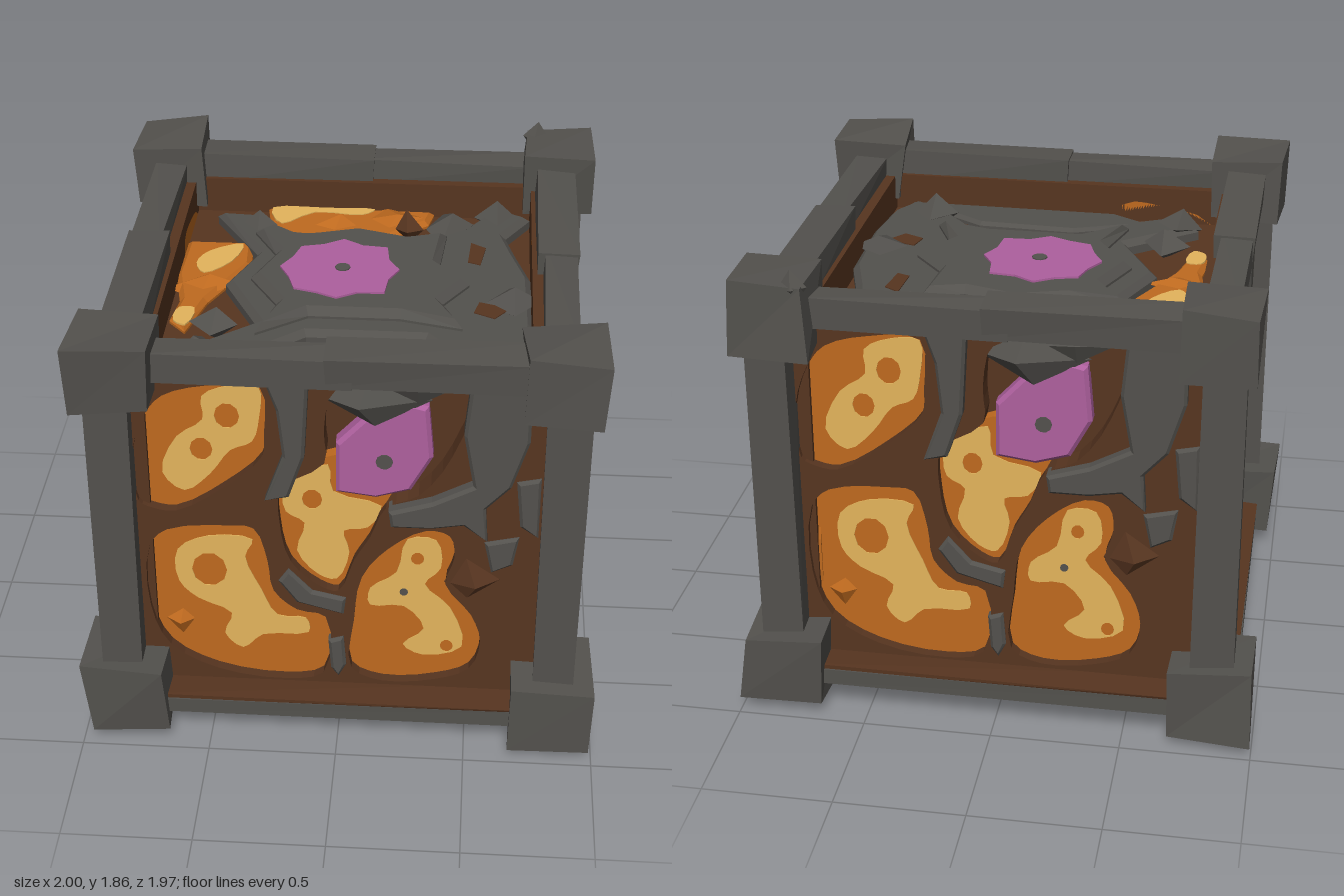
import * as THREE from 'three';

const mat = (name, color) => {
  const m = new THREE.MeshStandardMaterial({ color });
  m.name = name;
  return m;
};
const stone = mat('grey stone', 0x53514d);
const earth = mat('brown earth', 0x573520);
const lava = mat('orange lava', 0xbf6a1f);
const glow = mat('yellow glow', 0xe4b45c);
const crystal = mat('purple crystal', 0xae609e);

// Small repeatable noise, keyed on position so shared corners move together
const noise = (x, y, z, k) => {
  const s = Math.sin(x * 91.7 + y * 47.3 + z * 73.1 + k * 12.9) * 4375.5;
  return (s - Math.floor(s)) * 2 - 1;
};
function facet(geo, amount, seed) {
  const g = geo.index ? geo.toNonIndexed() : geo;
  const p = g.attributes.position;
  for (let i = 0; i < p.count; i++) {
    const [x, y, z] = [p.getX(i), p.getY(i), p.getZ(i)].map(v => Math.round(v * 1000) / 1000);
    p.setXYZ(i, x + noise(x, y, z, seed) * amount, y + noise(y, z, x, seed + 1) * amount, z + noise(z, x, y, seed + 2) * amount);
  }
  g.computeVertexNormals();
  return g;
}
function add(parent, name, geo, material, x = 0, y = 0, z = 0) {
  const m = new THREE.Mesh(geo, material);
  m.name = name;
  m.position.set(x, y, z);
  parent.add(m);
  return m;
}
// Box given by its limits, with slightly crooked corners
function block(parent, name, material, x0, x1, y0, y1, z0, z1, amount = 0.012, seed = 1) {
  const g = facet(new THREE.BoxGeometry(x1 - x0, y1 - y0, z1 - z0), amount, seed);
  return add(parent, name, g, material, (x0 + x1) / 2, (y0 + y1) / 2, (z0 + z1) / 2);
}
const vec = pts => pts.map(([x, y]) => new THREE.Vector2(x, y));
const poly = pts => new THREE.Shape(vec(pts));
// Closed smooth outline with optional oval holes
const smooth = pts => new THREE.CatmullRomCurve3(pts.map(([x, y]) => new THREE.Vector3(x, y, 0)), true)
  .getPoints(pts.length * 3).slice(0, -1).map(p => [p.x, p.y]);
const blob = (pts, holes = []) => {
  const s = poly(smooth(pts));
  for (const [x, y, r] of holes) s.holes.push(new THREE.Path().absellipse(x, y, r * 0.85, r, 0, Math.PI * 2));
  return s;
};
const disc = (x, y, r) => new THREE.Shape().absarc(x, y, r, 0, Math.PI * 2);
// Slab from z0 to z1 with an optional chamfered front edge inside the outline
function slab(parent, name, shape, material, z0, z1, bevel = 0) {
  const g = new THREE.ExtrudeGeometry(shape, {
    depth: z1 - z0 - bevel, curveSegments: 5, bevelEnabled: bevel > 0,
    bevelThickness: bevel, bevelSize: bevel, bevelOffset: -bevel, bevelSegments: 1,
  });
  return add(parent, name, g, material, 0, 0, z0);
}
function rock(parent, name, material, x, y, z, sx, sy, sz, seed = 3) {
  const m = add(parent, name, facet(new THREE.OctahedronGeometry(1, 0), 0.25, seed), material, x, y, z);
  m.scale.set(sx, sy, sz);
}

// Outlines of the gem side
const gemSide = {
  cells: [
    [[-.28, 1.57], [-.27, 1.37], [-.28, 1.27], [-.42, 1.13], [-.61, 1.01], [-.7, 1.02], [-.75, 1.05], [-.76, 1.27], [-.71, 1.43], [-.64, 1.52], [-.48, 1.57]],
    [[-.65, .92], [-.42, .95], [-.32, .94], [-.27, .79], [-.25, .65], [-.16, .56], [-.05, .53], [-.06, .25], [-.21, .21], [-.48, .25], [-.66, .36], [-.73, .55], [-.72, .84]],
    [[.33, .96], [.42, .94], [.44, .84], [.41, .71], [.51, .57], [.55, .44], [.51, .3], [.38, .24], [.17, .22], [.05, .28], [.06, .52], [.09, .73], [.19, .87]],
  ],
  socket: [[-.22, .97], [-.21, 1.13], [-.05, 1.25], [-.05, 1.4], [0, 1.58], [.48, 1.6], [.42, 1.3], [.3, 1.12], [.18, 1.06], [.12, .92], [.06, .81], [0, .66], [-.07, .68], [-.18, .79]],
  inner: [[-.22, .97], [-.21, 1.13], [-.05, 1.25], [.04, 1.26], [.2, 1.12], [.18, 1.06], [.12, .92], [.06, .81], [0, .66], [-.07, .68], [-.18, .79]],
  glows: [
    [[[-.4, 1.55], [-.29, 1.55], [-.29, 1.42], [-.32, 1.31], [-.4, 1.27], [-.48, 1.16], [-.58, 1.08], [-.66, 1.16], [-.6, 1.32], [-.5, 1.4], [-.5, 1.5]], [[-.51, 1.27, .05], [-.41, 1.42, .055]]],
    [[[-.62, .8], [-.5, .87], [-.33, .86], [-.36, .78], [-.3, .62], [-.24, .5], [-.13, .49], [-.12, .42], [-.3, .4], [-.38, .33], [-.45, .4], [-.42, .5], [-.55, .57], [-.62, .65]], [[-.5, .71, .08]]],
    [[[-.2, 1.12], [-.04, 1.22], [-.02, 1.1], [.16, 1.04], [.11, .94], [.02, .92], [.04, .82], [-.01, .69], [-.08, .71], [-.16, .82], [-.13, .95], [-.2, 1.0]], [[-.1, 1.06, .045]]],
    [[[.26, .89], [.37, .89], [.39, .76], [.33, .68], [.43, .57], [.48, .38], [.33, .33], [.25, .38], [.33, .46], [.25, .57], [.12, .57], [.12, .65], [.22, .73]], [[.42, .38, .03], [.3, .8, .03]]],
  ],
  stones: [
    [[-.27, 1.65], [-.1, 1.65], [-.12, 1.3], [-.18, 1.12], [-.27, 1.1], [-.2, 1.3], [-.22, 1.5]],
    [[.48, 1.64], [.7, 1.62], [.7, 1.4], [.64, 1.2], [.55, 1.1], [.56, .95], [.47, 1.02], [.35, 1.0], [.2, 1.0], [.19, 1.07], [.35, 1.12], [.5, 1.2], [.46, 1.42]],
    [[-.23, .7], [-.16, .6], [.02, .55], [.03, .63], [-.1, .66], [-.19, .76]],
    [[-.04, .42], [.02, .44], [.03, .3], [0, .24], [-.03, .28]],
    [[.55, .92], [.68, .95], [.66, .82], [.58, .78]],
    [[.66, 1.2], [.75, 1.22], [.75, .95], [.68, 1.0]],
  ],
  gem: [[-.01, 1.1], [-.01, 1.32], [.1, 1.44], [.25, 1.51], [.33, 1.49], [.35, 1.27], [.27, 1.12], [.14, 1.08]],
};
// Outlines of the side without a gem
const plainSide = {
  cells: [
    [[-.41, .95], [-.24, .92], [-.11, .71], [-.07, .41], [-.14, .21], [-.35, .23], [-.59, .31], [-.64, .43], [-.62, .57], [-.46, .72]],
    [[.26, .79], [.31, .96], [.53, .96], [.67, .87], [.75, .79], [.75, .41], [.69, .28], [.39, .23], [.07, .23], [.05, .55], [.21, .6]],
    [[.25, 1.61], [.44, 1.62], [.61, 1.53], [.72, 1.43], [.74, 1.16], [.67, 1.01], [.55, 1.05], [.42, 1.16], [.31, 1.32], [.25, 1.45]],
  ],
  socket: [[-.24, 1.55], [-.07, 1.47], [.05, 1.45], [.15, 1.21], [.14, 1.08], [.23, .95], [.23, .87], [.14, .72], [.02, .68], [-.11, .89], [-.22, 1.03], [-.35, 1.19], [-.41, 1.27], [-.32, 1.43]],
  glows: [
    [[[-.24, 1.53], [-.07, 1.44], [.02, 1.41], [.12, 1.21], [.12, 1.07], [.21, .95], [.21, .87], [.13, .74], [.03, .7], [-.09, .9], [-.2, 1.04], [-.28, 1.19], [-.25, 1.35], [-.3, 1.43]],
      [[-.03, 1.28, .06], [-.19, 1.2, .05], [.06, 1.15, .04], [-.08, 1.02, .05], [.09, .93, .07], [.07, .78, .03], [-.16, 1.38, .04]]],
    [[[-.35, .87], [-.24, .8], [-.18, .6], [-.15, .42], [-.3, .33], [-.45, .33], [-.55, .4], [-.53, .52], [-.37, .6], [-.28, .7], [-.4, .78]], [[-.29, .5, .05], [-.42, .43, .04]]],
    [[[.45, .87], [.57, .85], [.5, .75], [.52, .6], [.4, .47], [.36, .5], [.46, .62], [.42, .78]]],
    [[[.15, .37], [.3, .48], [.33, .4], [.2, .35]]],
    [[[.27, 1.59], [.42, 1.59], [.36, 1.45], [.45, 1.25], [.55, 1.12], [.5, 1.12], [.38, 1.23], [.29, 1.38]], [[.33, 1.53, .03]]],
  ],
  stones: [
    [[.07, 1.68], [.24, 1.66], [.21, 1.28], [.16, 1.24], [.11, 1.45]],
    [[-.55, 1.6], [-.42, 1.62], [-.46, 1.38], [-.55, 1.42]],
    [[-.2, 1.64], [.06, 1.64], [.06, 1.52], [-.08, 1.5]],
    [[.2, 1.26], [.28, 1.26], [.28, 1.17], [.22, 1.18]],
    [[-.66, 1.0], [-.58, 1.02], [-.56, .96], [-.62, .92]],
    [[-.65, .85], [-.57, .87], [-.55, .8], [-.62, .77]],
  ],
};

function buildSide(data, name, angle) {
  const g = new THREE.Group();
  g.name = name;
  g.rotation.y = angle;
  // Raised earth web with openings over recessed lava
  const web = poly([[-.78, .17], [.78, .17], [.78, 1.65], [-.78, 1.65]]);
  for (const c of [...data.cells, data.socket]) web.holes.push(new THREE.Path(vec(smooth(c))));
  slab(g, 'earthWeb', web, earth, .71, .8);
  block(g, 'webBacking', earth, -.7, .7, 1.45, 1.65, .7, .72, 0);
  for (const c of [...data.cells, data.inner || data.socket]) slab(g, 'lavaCell', blob(c), lava, .7, .76);
  for (const [pts, holes] of data.glows) slab(g, 'lavaGlow', blob(pts, holes), glow, .757, .764);
  data.stones.forEach((s, i) => slab(g, 'stoneBranch', poly(s), stone, .77, i < 2 ? .85 : .815, .012));
  if (data.gem) {
    slab(g, 'gem', poly(data.gem), crystal, .71, .775, .015);
    slab(g, 'gemPupil', disc(.17, 1.25, .032), stone, .773, .779);
    slab(g, 'lavaPupil', disc(.25, .64, .016), stone, .762, .768);
    rock(g, 'browRock', stone, .12, 1.53, .78, .2, .11, .07);
    rock(g, 'browRock', stone, .27, 1.58, .77, .13, .06, .06, 6);
    rock(g, 'earthShard', earth, .5, .73, .79, .11, .11, .04, 5);
    rock(g, 'lavaShard', lava, -.62, .46, .76, .06, .06, .04, 8);
  } else {
    rock(g, 'earthShard', earth, .23, .79, .79, .07, .1, .04, 5);
    rock(g, 'lavaShard', lava, .62, .42, .76, .09, .08, .04, 8);
    rock(g, 'stoneShard', stone, -.47, 1.5, .79, .06, .13, .05, 9);
  }
  // Edge beams above and below
  block(g, 'topBeam', stone, -.7, .05, 1.62, 1.73, .74, .87, .008, 4);
  block(g, 'topBeam', stone, -.04, .7, 1.62, 1.745, .72, .875, .008, 6);
  block(g, 'bottomBeam', stone, -.75, .75, .12, .185, .76, .92, .006, 7);
  block(g, 'bottomLedge', earth, -.75, .75, .183, .2, .76, .92, .004, 9);
  return g;
}

export function createModel() {
  const model = new THREE.Group();
  model.name = 'lavaCube';
  block(model, 'core', earth, -.71, .71, .16, 1.5, -.71, .71, 0);
  block(model, 'basePlate', stone, -.86, .86, .12, .17, -.86, .86, .004);
  for (const [x0, x1, z0, z1] of [[-.15, .25, -.3, -.2], [-.15, -.05, -.2, -.05], [.15, .25, -.2, -.05]])
    block(model, 'basePatch', earth, x0, x1, .113, .121, z0, z1, 0);
  ['front', 'right', 'back', 'left'].forEach((n, i) =>
    model.add(buildSide(i === 1 ? plainSide : gemSide, n + 'Side', i * Math.PI / 2)));

  // Corner posts and blocks
  for (const sx of [-1, 1]) for (const sz of [-1, 1]) {
    const k = sx * 2 + sz * 5;
    const post = new THREE.BoxGeometry(.16, 1.3, .16);
    add(model, 'cornerPost', facet(post, .01, k), stone, sx * .838, .95, sz * .83);
    add(model, 'lowerCorner', facet(new THREE.BoxGeometry(.32, .29, .31), .02, k), stone, sx * .82, .2, sz * .815);
    add(model, 'upperCorner', facet(new THREE.BoxGeometry(.28, .27, .29), .018, k + 1), stone, sx * .81, 1.67, sz * .81);
    const spike = add(model, 'footSpike', facet(new THREE.ConeGeometry(.05, .07, 4), .008, k), stone, sx * .84, .035, sz * .82);
    spike.rotation.x = Math.PI;
  }
  rock(model, 'cornerChip', stone, .71, 1.79, -.9, .06, .06, .05, 2);

  // Top: laid out in x and z, then turned to face up
  const top = new THREE.Group();
  top.name = 'topSide';
  top.rotation.x = -Math.PI / 2;
  model.add(top);
  const flip = pts => pts.map(([x, z]) => [x, -z]);
  const crust = [[-.6, -.58], [-.45, -.58], [-.25, -.43], [0, -.46], [.2, -.43], [.42, -.5], [.55, -.7], [.7, -.62], [.6, -.45], [.64, -.3], [.7, -.1], [.71, .27], [.68, .52], [.6, .66], [.48, .6], [.3, .38], [-.15, .38], [-.35, .55], [-.55, .65], [-.62, .52], [-.35, .3], [-.5, 0], [-.4, -.25]];
  const mound = [[-.42, -.38], [-.2, -.36], [0, -.42], [.2, -.36], [.36, -.4], [.34, -.15], [.46, 0], [.36, .16], [.44, .34], [.2, .28], [-.15, .28], [-.34, .42], [-.28, .2], [-.4, 0], [-.32, -.2]];
  const lavas = [
    [[-.4, -.7], [-.1, -.71], [.3, -.7], [.28, -.6], [.1, -.45], [-.3, -.43], [-.38, -.58]],
    [[-.7, -.38], [-.43, -.38], [-.42, -.2], [-.56, .1], [-.62, .33], [-.69, .25], [-.67, .1], [-.71, -.1]],
  ];
  const streaks = [
    [[-.38, -.68], [-.15, -.69], [.05, -.69], [0, -.64], [-.2, -.65], [-.33, -.54]],
    [[-.6, -.28], [-.47, -.35], [-.5, -.2], [-.6, -.1], [-.64, -.18]],
    [[-.66, .18], [-.6, .18], [-.62, .31], [-.67, .28]],
  ];
  lavas.forEach(p => slab(top, 'topLava', poly(flip(p)), lava, 1.48, 1.53, .02));
  streaks.forEach(p => slab(top, 'topGlow', blob(flip(p)), glow, 1.527, 1.534));
  slab(top, 'topCrust', poly(flip(crust)), stone, 1.48, 1.56, .025);
  slab(top, 'topMound', poly(flip(mound)), stone, 1.55, 1.6, .03);
  slab(top, 'frontCrust', poly(flip([[-.4, .6], [-.1, .48], [.3, .5], [.5, .63], [.64, .7], [-.25, .7]])), stone, 1.48, 1.53, .015);
  // Earth cracks showing through the crust
  for (const p of [[[.46, -.36], [.52, -.32], [.5, -.18], [.45, -.2]], [[.5, .12], [.62, .16], [.56, .24], [.48, .2]]])
    slab(top, 'crustCrack', poly(flip(p)), earth, 1.557, 1.564);
  const star = Array.from({ length: 16 }, (_, i) => {
    const a = i * Math.PI / 8, r = (i % 2 ? .21 : .245) + noise(i, 2, 1, 4) * .015;
    return [-.05 + r * Math.cos(a), .04 + r * Math.sin(a)];
  });
  slab(top, 'topGem', poly(star), crystal, 1.55, 1.608);
  slab(top, 'topGemPupil', disc(-.04, .04, .03), stone, 1.606, 1.613);
  // Loose rubble around the crust: x, z, size
  [[-.53, .54, .11], [.5, .52, .1], [.36, -.5, .1], [.62, .1, .1], [-.42, -.48, .07], [.56, -.62, .09], [-.5, .32, .09], [.2, -.52, .06]]
    .forEach(([x, z, s], i) => rock(top, 'rubble', i === 7 ? earth : stone, x, -z, 1.55, s, s, .07, i + 3));
  [[.12, -.62, .1], [-.58, -.02, .1], [-.1, -.55, .08]]
    .forEach(([x, z, s], i) => rock(top, 'topLavaShard', lava, x, -z, 1.52, s * 1.3, s, .05, i + 12));
  return model;
}
